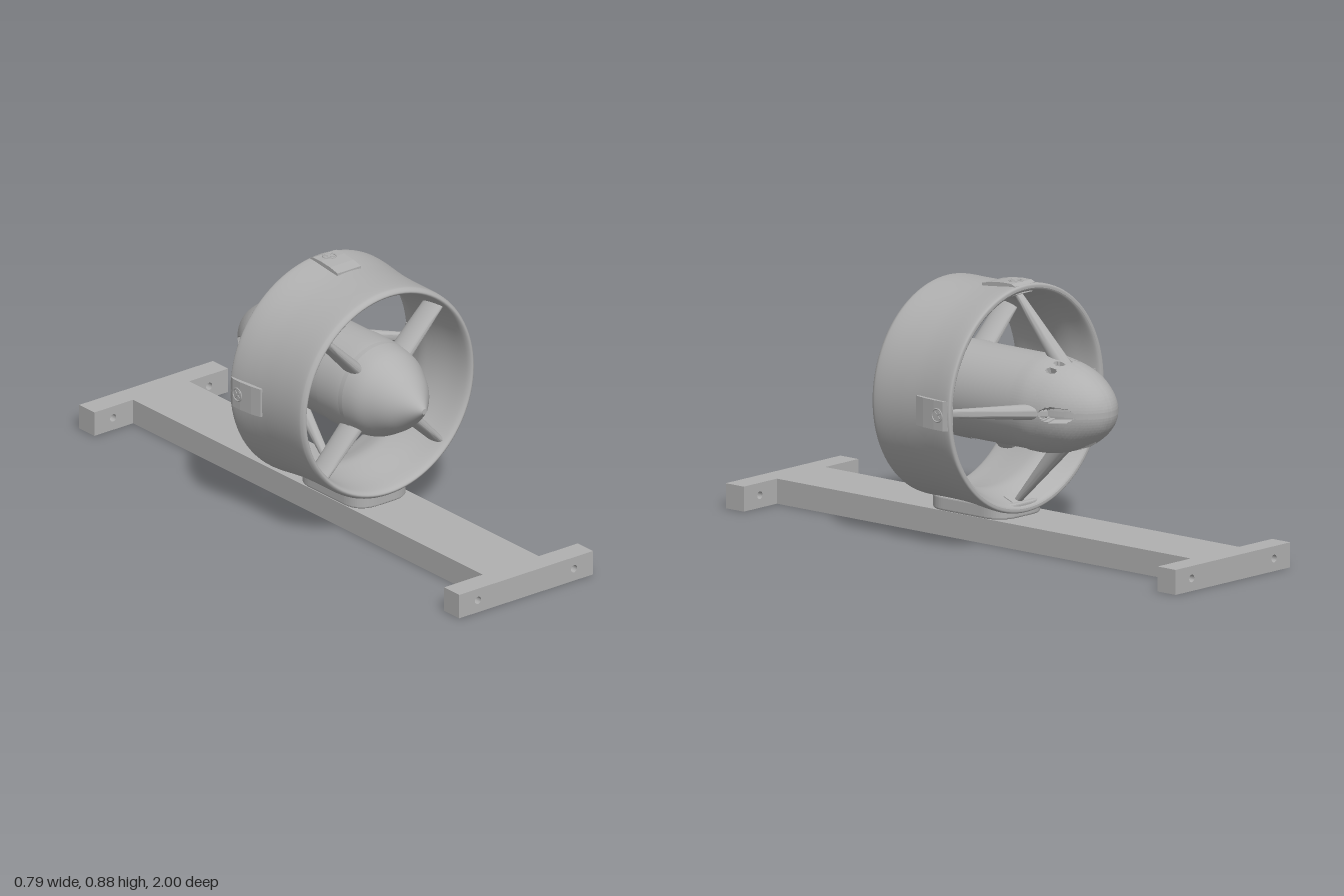
import * as THREE from 'three';
import { toCreasedNormals } from 'three/addons/utils/BufferGeometryUtils.js';

const CENTRE_Y = 0.485;
const grey = new THREE.MeshStandardMaterial({ color: 0xb0b0b0 });
grey.name = 'plain grey';

function add(parent, name, geometry) {
  const mesh = new THREE.Mesh(geometry, grey);
  mesh.name = name;
  parent.add(mesh);
  return mesh;
}

const vectors = (points) => points.map(([a, b]) => new THREE.Vector2(a, b));

// Turned part around the z axis; the profile is [radius, z] with z rising on the outside
function turned(points, steps, segments) {
  const profile = new THREE.SplineCurve(vectors(points)).getPoints(steps);
  profile.forEach((p) => { p.x = Math.max(p.x, 0); });
  return new THREE.LatheGeometry(profile, segments).rotateX(Math.PI / 2);
}

// Tapered oval arm standing along +y; each end is { r, z, chord, thick } (half sizes)
function arm(inner, outer) {
  const geo = new THREE.CylinderGeometry(1, 1, 1, 24, 6);
  const pos = geo.attributes.position;
  const mix = THREE.MathUtils.lerp;
  for (let i = 0; i < pos.count; i++) {
    const t = pos.getY(i) + 0.5;
    pos.setXYZ(i,
      pos.getX(i) * mix(inner.thick, outer.thick, t),
      mix(inner.r, outer.r, t),
      mix(inner.z, outer.z, t) + pos.getZ(i) * mix(inner.chord, outer.chord, t));
  }
  return toCreasedNormals(geo, 0.8);
}

function circleHole(x, y, r) {
  return new THREE.Path().absarc(x, y, r, 0, Math.PI * 2, true);
}

function extrude(shape, depth, extra = {}) {
  return new THREE.ExtrudeGeometry(shape, { depth, bevelEnabled: false, curveSegments: 16, ...extra });
}

// Tail dome with vents and scoops pressed into the skin
function tailDome() {
  const geo = turned([[0, -0.457], [0.03, -0.451], [0.064, -0.433], [0.096, -0.4], [0.128, -0.35],
    [0.147, -0.3], [0.158, -0.25], [0.165, -0.2], [0.165, -0.15]], 100, 192);
  const dents = [-0.08, -0.04, 0, 0.04, 0.08].map((x) => (
    { angle: Math.PI / 2 - Math.asin(x / 0.157), z: -0.262, width: 0.011, length: 0.018, depth: 0.025 }));
  for (const angle of [0, Math.PI, -Math.PI / 2]) {
    dents.push({ angle, z: -0.33, width: 0.026, length: 0.058, depth: 0.03 });
  }
  const pos = geo.attributes.position;
  for (let i = 0; i < pos.count; i++) {
    const x = pos.getX(i), y = pos.getY(i), z = pos.getZ(i);
    const r = Math.hypot(x, y);
    for (const d of dents) {
      const da = Math.atan2(y, x) - d.angle;
      const across = Math.atan2(Math.sin(da), Math.cos(da)) * r / d.width;
      const along = (z - d.z) / d.length;
      if (across * across + along * along < 1) {
        const k = (r - d.depth) / r;
        pos.setXY(i, x * k, y * k);
      }
    }
  }
  return toCreasedNormals(geo, 0.6);
}

// I-shaped stand with drilled end bars
function buildStand(parent) {
  const web = new THREE.Shape(vectors([[-0.12, -0.92], [0.12, -0.92], [0.12, 0.92], [-0.12, 0.92]]));
  for (let i = 0; i < 4; i++) {
    const a = i * Math.PI / 2;
    web.holes.push(circleHole(0.076 * Math.cos(a), -0.11 + 0.076 * Math.sin(a), 0.014));
  }
  add(parent, 'standPlate', extrude(web, 0.085).rotateX(-Math.PI / 2));

  const bar = new THREE.Shape(vectors([[-0.285, 0], [0.285, 0], [0.285, 0.085], [-0.285, 0.085]]));
  for (const x of [-0.205, 0.205]) bar.holes.push(circleHole(x, 0.043, 0.013));
  const barGeo = extrude(bar, 0.08);
  add(parent, 'frontBar', barGeo).position.z = 0.92;
  add(parent, 'rearBar', barGeo).position.z = -1;

  // Rounded pad between stand and duct
  const w = 0.113, f = 0.26, b = -0.07, c = 0.08;
  const pad = new THREE.Shape();
  pad.moveTo(-w + c, -f);
  pad.lineTo(w - c, -f);
  pad.quadraticCurveTo(w, -f, w, -f + c);
  pad.lineTo(w, -b - c);
  pad.quadraticCurveTo(w, -b, w - c, -b);
  pad.lineTo(-w + c, -b);
  pad.quadraticCurveTo(-w, -b, -w, -b - c);
  pad.lineTo(-w, -f + c);
  pad.quadraticCurveTo(-w, -f, -w + c, -f);
  const padGeo = extrude(pad, 0.036, { bevelEnabled: true, bevelSize: 0.007, bevelThickness: 0.007, bevelSegments: 3 });
  add(parent, 'mountPad', padGeo.rotateX(-Math.PI / 2)).position.y = 0.091;
}

// Screwed clip on the outside of the duct
function buildClip(parent) {
  const side = new THREE.Shape(vectors([[0.07, 0.366], [0.07, 0.379], [0.03, 0.388], [-0.02, 0.393],
    [-0.06, 0.393], [-0.076, 0.386], [-0.076, 0.366]].reverse()));
  add(parent, 'clip', extrude(side, 0.1).translate(0, 0, -0.05).rotateY(-Math.PI / 2));
  const screw = new THREE.Group();
  screw.name = 'screw';
  screw.position.set(0, 0.393, -0.035);
  parent.add(screw);
  add(screw, 'screwRim', new THREE.TorusGeometry(0.022, 0.003, 6, 24).rotateX(Math.PI / 2));
  for (const turn of [1, -1]) {
    add(screw, 'screwCross', new THREE.BoxGeometry(0.034, 0.004, 0.007)).rotation.y = turn * Math.PI / 4;
  }
}

export function createModel() {
  const model = new THREE.Group();
  model.name = 'ductedFanOnStand';
  buildStand(model);

  const fan = new THREE.Group();
  fan.name = 'fan';
  fan.position.y = CENTRE_Y;
  model.add(fan);

  // Duct ring: outside wall from rear to front, then back along the bore
  add(fan, 'duct', turned([[0.372, -0.084], [0.383, -0.083], [0.387, -0.072], [0.385, -0.04], [0.378, 0.02],
    [0.373, 0.08], [0.371, 0.16], [0.371, 0.25], [0.367, 0.272], [0.357, 0.281], [0.348, 0.273],
    [0.342, 0.25], [0.334, 0.19], [0.322, 0.11], [0.318, 0.06], [0.326, 0.02], [0.345, -0.03],
    [0.362, -0.074], [0.372, -0.084]], 110, 96));

  // Central body
  add(fan, 'hubBody', new THREE.CylinderGeometry(0.162, 0.162, 0.42, 64, 1, true).rotateX(Math.PI / 2)).position.z = 0.02;
  add(fan, 'noseCone', turned([[0.165, 0.1], [0.164, 0.18], [0.16, 0.225], [0.148, 0.28], [0.123, 0.33],
    [0.094, 0.375], [0.054, 0.42], [0.01, 0.465]], 40, 64));
  add(fan, 'noseTip', new THREE.CylinderGeometry(0.01, 0.01, 0.004, 16).rotateX(Math.PI / 2)).position.z = 0.464;
  add(fan, 'tailDome', tailDome());

  // Front spokes on the diagonals, rear struts on the axes
  const spokeGeo = arm({ r: 0.13, z: 0.215, chord: 0.05, thick: 0.025 }, { r: 0.348, z: 0.215, chord: 0.045, thick: 0.016 });
  const strutGeo = arm({ r: 0.13, z: -0.25, chord: 0.045, thick: 0.028 }, { r: 0.362, z: -0.035, chord: 0.014, thick: 0.013 });
  for (let i = 0; i < 4; i++) {
    add(fan, 'frontSpoke', spokeGeo).rotation.z = Math.PI / 4 + i * Math.PI / 2;

    const rear = new THREE.Group();
    rear.name = 'rearSupport';
    rear.rotation.z = i * Math.PI / 2;
    fan.add(rear);
    add(rear, 'rearStrut', strutGeo);
    const foot = add(rear, 'strutFoot', new THREE.BoxGeometry(0.08, 0.012, 0.06));
    foot.position.set(0, 0.351, -0.043);
    foot.rotation.x = 0.38;
    if (i !== 2) buildClip(rear);
  }
  return model;
}
